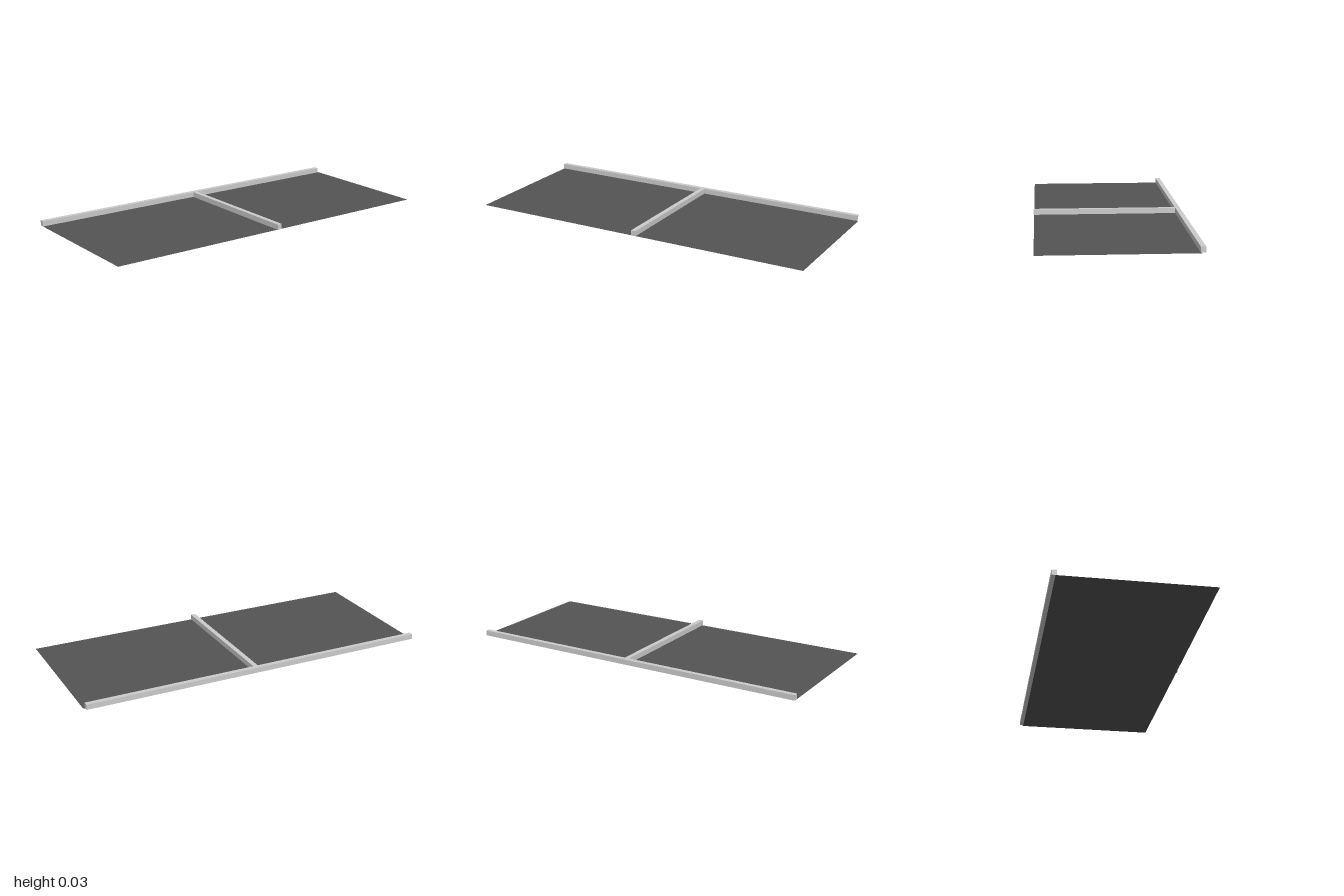
import * as THREE from 'three';

export function createModel() {
  const model = new THREE.Group();
  const grey = new THREE.MeshStandardMaterial({ color: 0xcccccc });
  const dark = new THREE.MeshStandardMaterial({ color: 0x545454, side: THREE.DoubleSide });

  // Box given by its lower and upper corners
  function addBar(name, [x0, y0, z0], [x1, y1, z1]) {
    const bar = new THREE.Mesh(new THREE.BoxGeometry(x1 - x0, y1 - y0, z1 - z0), grey);
    bar.name = name;
    bar.position.set((x0 + x1) / 2, (y0 + y1) / 2, (z0 + z1) / 2);
    model.add(bar);
  }

  // Thin floor sheet, reaching just under the back rail
  const sheet = new THREE.Mesh(new THREE.PlaneGeometry(2, 0.815).rotateX(-Math.PI / 2), dark);
  sheet.name = 'floorSheet';
  sheet.position.z = 0.0085;
  model.add(sheet);

  // Low rail along the back edge; its underside clears the sheet by a hair
  addBar('backRail', [-1, 0.0005, -0.42], [0.99, 0.03, -0.393]);

  // Divider running from the rail to the front edge
  addBar('centreDivider', [0, 0.0005, -0.393], [0.027, 0.03, 0.42]);

  return model;
}
